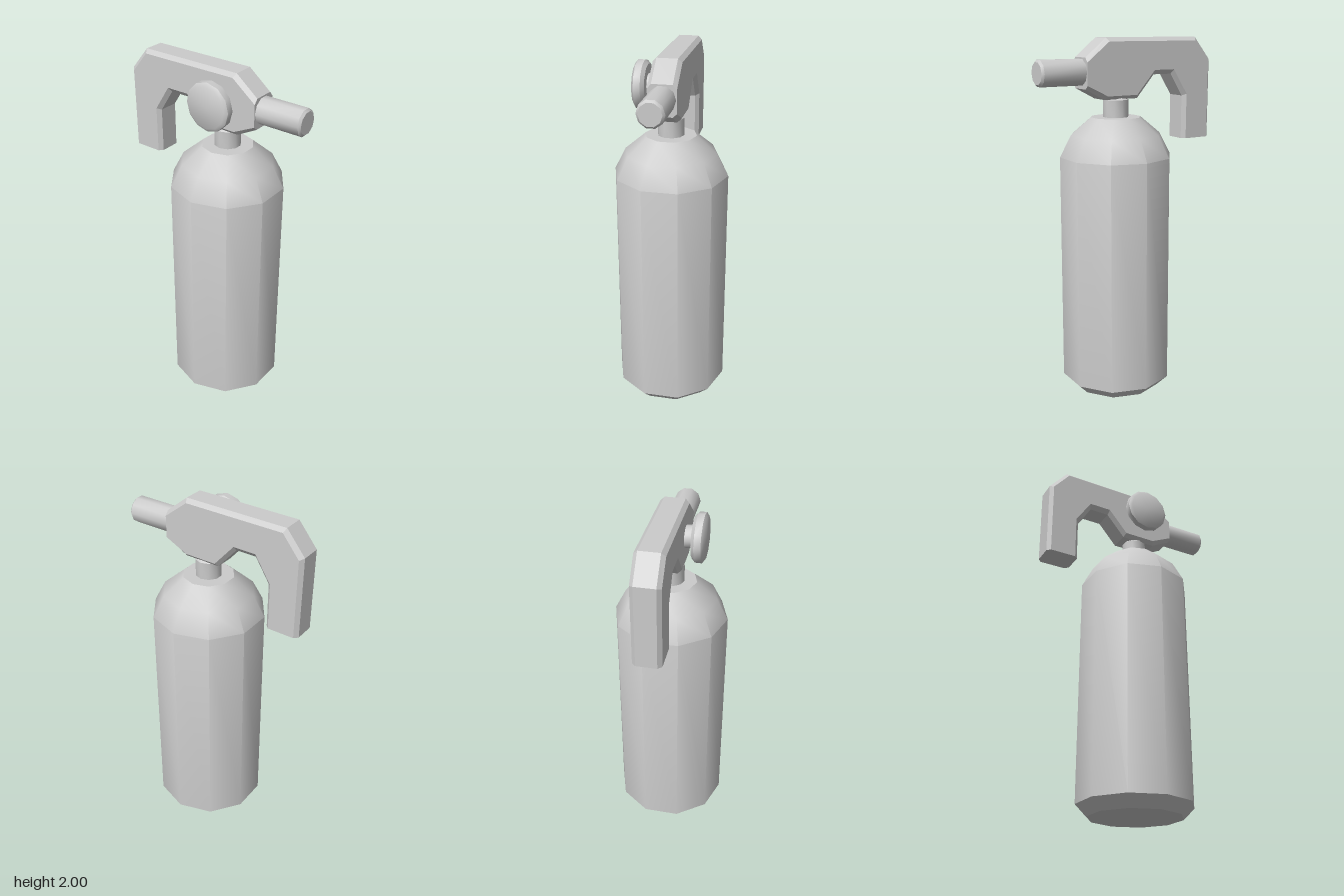
import * as THREE from 'three';
import { toCreasedNormals } from 'three/addons/utils/BufferGeometryUtils.js';

const AXIS_Z = 0.063; // z of the tank's vertical axis

// Turned part: profile of [radius, height] from bottom to top, corners on the x axis
function turned(name, profile, sides) {
  const points = profile.map(([r, y]) => new THREE.Vector2(r, y));
  const start = Math.PI / 2 % (2 * Math.PI / sides);
  const geometry = new THREE.LatheGeometry(points, sides, start);
  const mesh = new THREE.Mesh(
    toCreasedNormals(geometry, 0.7),
    new THREE.MeshStandardMaterial({ color: 0xcccccc })
  );
  mesh.name = name;
  return mesh;
}

// Side plate with chamfered edges: outer outline in the middle, inset outline on both faces
function chamferedPlate(outer, inset, halfCore, halfWidth) {
  const rings = [[-halfWidth, inset], [-halfCore, outer], [halfCore, outer], [halfWidth, inset]];
  const n = outer.length;
  const positions = [];
  const index = [];
  for (const [x, outline] of rings) {
    for (const [z, y] of outline) positions.push(x, y, z);
  }
  for (let k = 0; k < 3; k++) {
    for (let i = 0; i < n; i++) {
      const j = (i + 1) % n;
      const a = k * n + i, b = k * n + j, c = a + n, d = b + n;
      index.push(a, c, b, b, c, d);
    }
  }
  const contour = inset.map(([z, y]) => new THREE.Vector2(z, y));
  for (const [a, b, c] of THREE.ShapeUtils.triangulateShape(contour, [])) {
    index.push(a, b, c, 3 * n + a, 3 * n + c, 3 * n + b);
  }
  const geometry = new THREE.BufferGeometry();
  geometry.setAttribute('position', new THREE.Float32BufferAttribute(positions, 3));
  geometry.setIndex(index);
  const flat = geometry.toNonIndexed();
  flat.computeVertexNormals();
  return flat;
}

export function createModel() {
  const group = new THREE.Group();
  group.name = 'fireExtinguisher';

  // Tank with chamfered foot and rounded shoulder
  const tank = turned('tank', [
    [0, 0], [0.26, 0], [0.321, 0.062], [0.315, 1.36], [0.253, 1.48], [0.14, 1.575], [0, 1.575],
  ], 10);
  tank.position.z = AXIS_Z;

  // Neck between tank and handle
  const neck = turned('neck', [[0.072, 1.55], [0.072, 1.67], [0.05, 1.69], [0, 1.69]], 10);
  neck.position.z = AXIS_Z;

  // Valve block and handle in one piece, outlines as [z, y]
  const outer = [
    [0.28, 1.9], [0.155, 2], [-0.43, 2], [-0.535, 1.875], [-0.535, 1.43], [-0.345, 1.43],
    [-0.345, 1.675], [-0.265, 1.8], [-0.15, 1.8], [-0.04, 1.675], [0.165, 1.675], [0.28, 1.735],
  ];
  const inset = [
    [0.28, 1.875], [0.145, 1.98], [-0.42, 1.98], [-0.515, 1.865], [-0.515, 1.43], [-0.365, 1.43],
    [-0.365, 1.685], [-0.275, 1.825], [-0.145, 1.825], [-0.03, 1.695], [0.155, 1.695], [0.28, 1.755],
  ];
  const handle = new THREE.Mesh(
    chamferedPlate(outer, inset, 0.055, 0.076),
    new THREE.MeshStandardMaterial({ color: 0xcccccc, flatShading: true })
  );
  handle.name = 'handle';

  // Nozzle pointing forward
  const nozzle = turned('nozzle', [
    [0, 0], [0.072, 0], [0.072, 0.273], [0.06, 0.285], [0, 0.285],
  ], 10);
  nozzle.rotation.x = Math.PI / 2;
  nozzle.position.set(0, 1.823, 0.25);

  // Pressure gauge on its stem, facing -x
  const gauge = new THREE.Group();
  gauge.name = 'gauge';
  gauge.add(
    turned('gaugeStem', [[0.059, 0.06], [0.059, 0.125]], 12),
    turned('gaugeDial', [
      [0, 0.118], [0.11, 0.118], [0.129, 0.136], [0.129, 0.172], [0.111, 0.185], [0, 0.185],
    ], 12)
  );
  gauge.rotation.z = Math.PI / 2;
  gauge.position.set(0, 1.838, AXIS_Z);

  group.add(tank, neck, handle, nozzle, gauge);
  return group;
}
